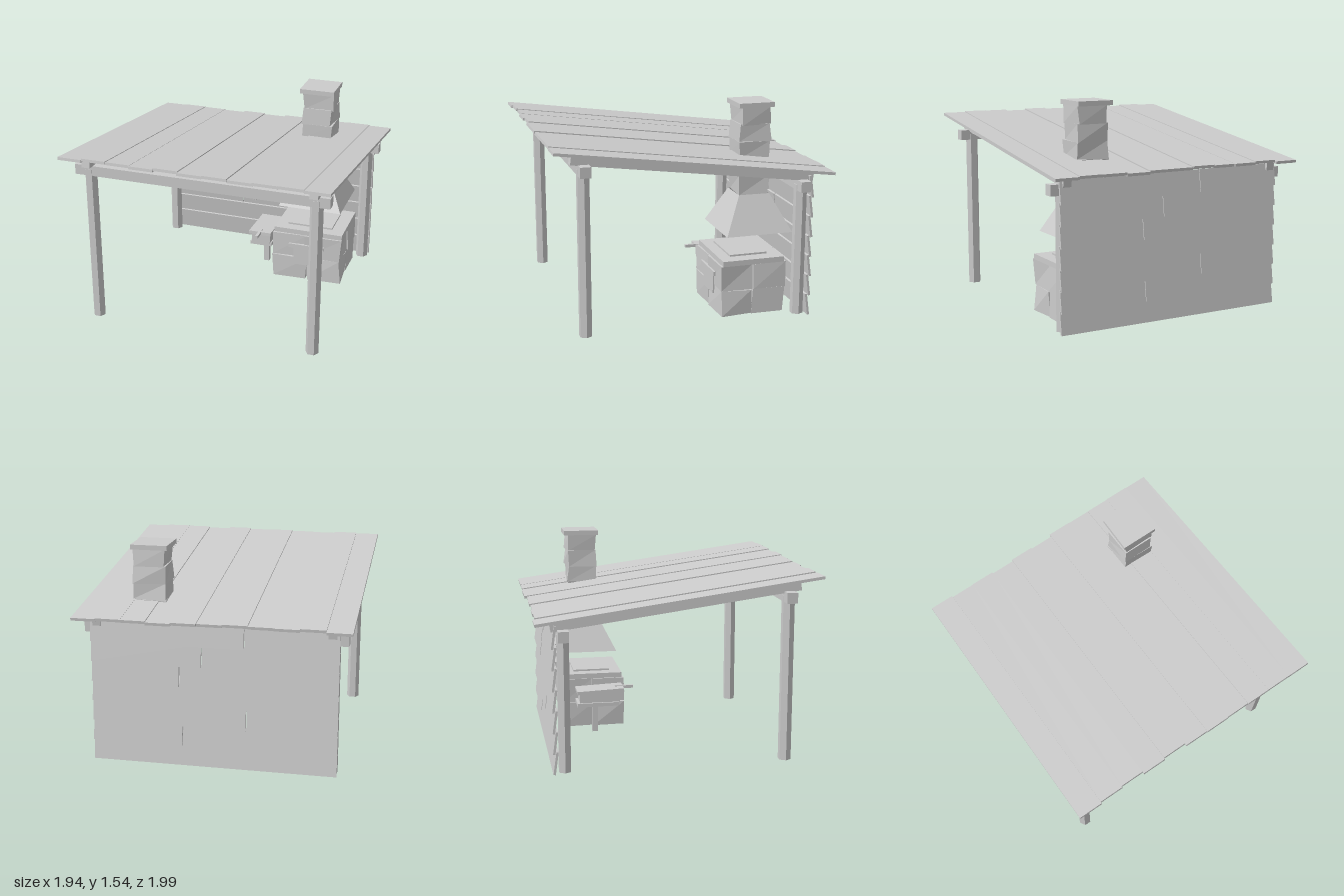
import * as THREE from 'three';

export function createModel() {
  const model = new THREE.Group();
  const grey = new THREE.MeshStandardMaterial({ color: 0xcccccc, flatShading: true });
  grey.name = 'plain grey';
  const greySheet = new THREE.MeshStandardMaterial({ color: 0xcccccc, flatShading: true, side: THREE.DoubleSide });
  greySheet.name = 'plain grey sheet';

  let seed = 7;
  const rand = () => {
    seed = (seed * 16807) % 2147483647;
    return seed / 2147483647 - 0.5;
  };
  const add = (name, geometry, x = 0, y = 0, z = 0, material = grey) => {
    const mesh = new THREE.Mesh(geometry, material);
    mesh.name = name;
    mesh.position.set(x, y, z);
    model.add(mesh);
    return mesh;
  };
  // Box given by its extents
  const block = (name, x0, x1, y0, y1, z0, z1) =>
    add(name, new THREE.BoxGeometry(x1 - x0, y1 - y0, z1 - z0), (x0 + x1) / 2, (y0 + y1) / 2, (z0 + z1) / 2);
  // Box with its eight corners nudged, like a rough stone
  const stone = (name, x0, x1, y0, y1, z0, z1, amount) => {
    const mesh = block(name, x0, x1, y0, y1, z0, z1);
    const p = mesh.geometry.attributes.position;
    const nudges = Array.from({ length: 8 }, () => [rand() * amount, rand() * amount * 0.4, rand() * amount]);
    for (let i = 0; i < p.count; i++) {
      const n = nudges[(p.getX(i) > 0 ? 1 : 0) + (p.getY(i) > 0 ? 2 : 0) + (p.getZ(i) > 0 ? 4 : 0)];
      p.setXYZ(i, p.getX(i) + n[0], p.getY(i) + n[1], p.getZ(i) + n[2]);
    }
    mesh.geometry.computeVertexNormals();
    return mesh;
  };

  // Sloping plank roof
  const slope = 0.134;
  const frontEnds = [0.985, 0.975, 0.965, 0.98, 0.97, 0.985, 0.99, 0.985, 0.99, 0.99, 0.99];
  const backEnds = [-0.995, -0.98, -0.985, -0.975, -0.985, -0.98, -1, -1, -0.998, -1, -1];
  const lifts = [-0.004, 0.004, -0.001, -0.003, 0.005, -0.002, 0.004, -0.004, 0.003, 0.005, -0.001];
  const plankWidth = 1.936 / 11;
  for (let i = 0; i < 11; i++) {
    const mid = (frontEnds[i] + backEnds[i]) / 2;
    const length = (frontEnds[i] - backEnds[i]) / Math.cos(slope);
    add('roofPlank', new THREE.BoxGeometry(plankWidth, 0.02, length),
      -0.968 + plankWidth * (i + 0.5), 1.207 + mid * Math.tan(slope) + lifts[i], mid).rotation.x = -slope;
  }

  // Hexagonal posts and rafters on both sides
  for (const side of [-1, 1]) {
    for (const [z, top] of [[0.77, 1.2], [-0.8, 0.98]]) {
      add('post', new THREE.CylinderGeometry(0.047, 0.047, top - 0.012, 6), side * 0.825, (top + 0.012) / 2, z)
        .rotation.y = Math.PI / 6;
    }
    add('rafter', new THREE.BoxGeometry(0.06, 0.066, 1.755), side * 0.823, 1.149, -0.015).rotation.x = -slope;
  }
  block('frontBeam', -0.93, 0.925, 1.155, 1.23, 0.732, 0.808);
  block('backBeam', -0.93, 0.925, 0.94, 1.016, -0.838, -0.765);

  // Overlapping back wall boards, some made of two lengths
  const joints = [null, 0.22, -0.235, null, 0.24, 0.08, -0.22];
  joints.forEach((joint, row) => {
    const spans = joint === null ? [[-0.873, 0.873]] : [[-0.873, joint - 0.003], [joint + 0.003, 0.873]];
    spans.forEach(([x0, x1], k) => {
      const board = add('wallBoard', new THREE.BoxGeometry(x1 - x0, 0.162, 0.016),
        (x0 + x1) / 2, 0.083 + row * 0.147, -0.864 - k * 0.003);
      board.rotation.x = 0.14;
      board.rotation.z = rand() * 0.004;
    });
  });

  // Stone forge
  for (const [y0, y1, split] of [[0.012, 0.2, 0.5], [0.202, 0.39, 0.487]]) {
    for (const [z0, z1] of [[-0.72, -0.482], [-0.478, -0.24]]) {
      stone('forgeStone', 0.222, split - 0.003, y0, y1, z0, z1, 0.022);
      stone('forgeStone', split + 0.003, 0.768, y0, y1, z0, z1, 0.022);
    }
  }
  block('forgeTop', 0.23, 0.775, 0.392, 0.431, -0.715, -0.25);
  block('hearthPlate', 0.32, 0.675, 0.431, 0.444, -0.62, -0.335);
  block('forgeLedge', 0.355, 0.64, 0.283, 0.315, -0.28, -0.224);
  block('ashDoor', 0.395, 0.603, 0.137, 0.284, -0.28, -0.233);

  // Smoke hood, open underneath
  const hood = new THREE.CylinderGeometry(0.115 * Math.SQRT2, 0.248 * Math.SQRT2, 0.268, 4, 1, true);
  hood.rotateY(Math.PI / 4);
  add('smokeHood', hood, 0.498, 0.734, -0.535, greySheet);

  // Chimney of stacked stones and its cap
  const levels = [0.866, 1.01, 1.138, 1.255, 1.38, 1.505];
  for (let i = 0; i < 5; i++) {
    stone('chimneyStone', 0.39, 0.614, levels[i], levels[i + 1], -0.645, -0.425, 0.026);
  }
  block('chimneyCap', 0.366, 0.63, 1.503, 1.537, -0.67, -0.405);

  // Bellows on a stand
  block('bellowsLeg', 0.082, 0.125, 0.005, 0.225, -0.5, -0.457);
  block('bellowsBase', 0.015, 0.19, 0.222, 0.25, -0.62, -0.3);
  block('bellowsBag', 0.03, 0.18, 0.25, 0.335, -0.6, -0.29);
  const lid = block('bellowsLid', 0.015, 0.195, 0.325, 0.35, -0.62, -0.26);
  lid.rotation.x = -0.04;
  block('bellowsHandle', 0.092, 0.114, 0.338, 0.36, -0.32, -0.178);

  // Wall shelf with brackets and small goods
  block('shelf', -0.54, 0.105, 0.703, 0.72, -0.85, -0.744);
  for (const x of [-0.434, -0.005]) block('shelfBracket', x - 0.008, x + 0.008, 0.625, 0.703, -0.85, -0.77);
  for (const [x, width] of [[-0.325, 0.09], [-0.115, 0.03], [-0.05, 0.035]]) {
    block('shelfGoods', x - width / 2, x + width / 2, 0.72, 0.745, -0.83, -0.78);
  }

  // Hanging horseshoe and its nail
  const shoe = new THREE.TorusGeometry(0.038, 0.008, 4, 8, Math.PI * 1.4);
  shoe.rotateZ(Math.PI * 0.3);
  add('horseshoe', shoe, -0.36, 0.478, -0.84);
  block('nail', -0.364, -0.356, 0.56, 0.568, -0.86, -0.83);

  // Hanging tongs
  for (const side of [-1, 1]) {
    add('tongs', new THREE.BoxGeometry(0.011, 0.22, 0.01), -0.127, 0.463, -0.838 + side * 0.005)
      .rotation.z = side * 0.1;
  }

  // Hanging hammer
  block('hammerHead', 0.06, 0.146, 0.575, 0.606, -0.855, -0.82);
  block('hammerHandle', 0.095, 0.111, 0.405, 0.575, -0.845, -0.829);

  return model;
}
